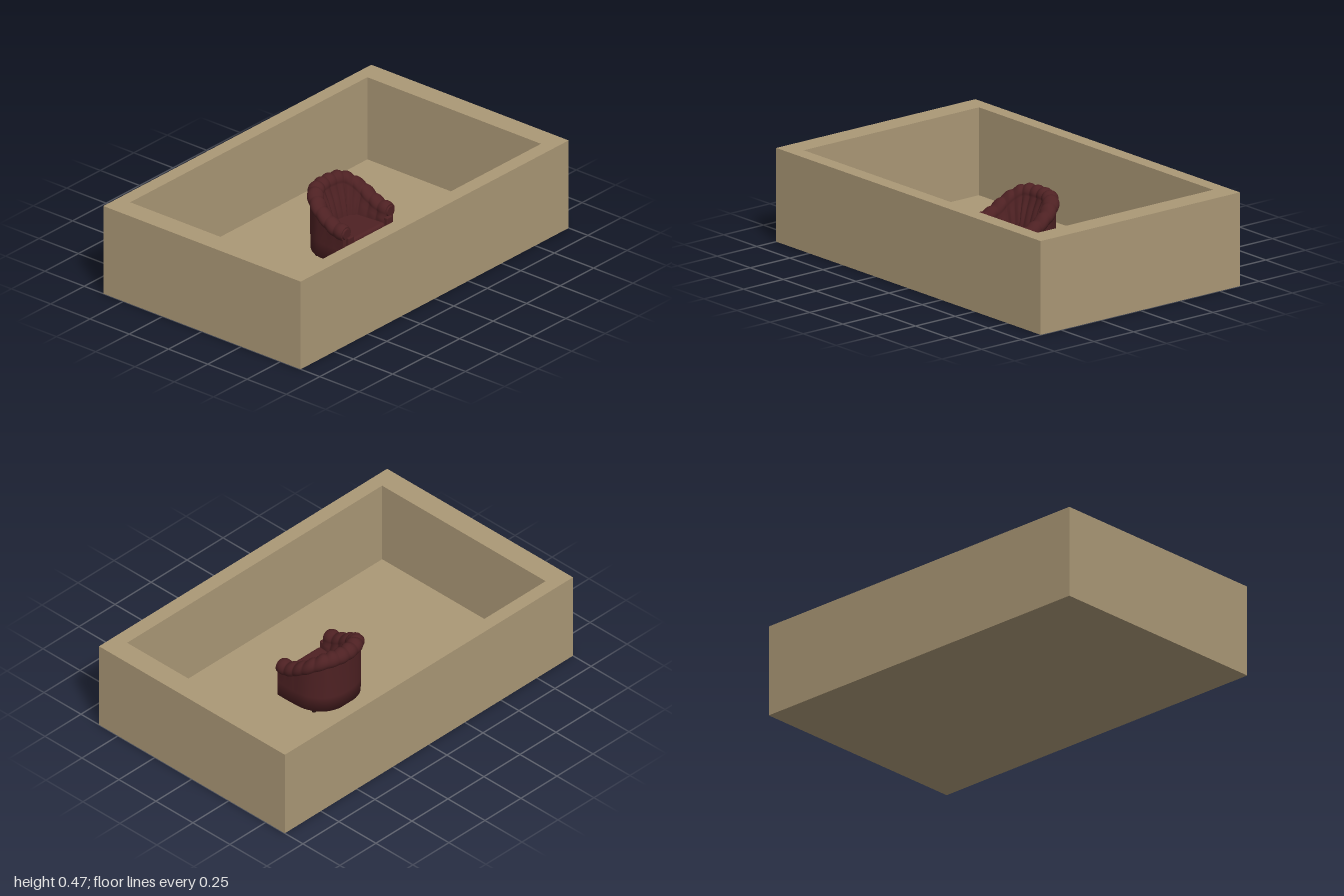
import * as THREE from 'three';
import { RoundedBoxGeometry } from 'three/addons/geometries/RoundedBoxGeometry.js';

const FLOOR = 0.03;
const HEIGHT = 0.475;

// Rectangle corners, for the wall outline and its opening
const rect = (x, y0, y1) => [[-x, y0], [x, y0], [x, y1], [-x, y1]].map(p => new THREE.Vector2(...p));

// Sweeps the upholstered cross-section round a U-shaped path: arms and back in one piece
function shellGeometry() {
  const path = new THREE.CatmullRomCurve3(
    [[-0.164, 0.132], [-0.163, 0.03], [-0.152, -0.05], [-0.1, -0.118], [0, -0.142],
      [0.1, -0.118], [0.152, -0.05], [0.163, 0.03], [0.164, 0.132]]
      .map(([x, z]) => new THREE.Vector3(x, 0, z)));
  const steps = 168, lumps = 14, arc = 14;
  const positions = [], index = [], sections = [], centres = [];

  for (let i = 0; i <= steps; i++) {
    const u = i / steps;
    const p = path.getPointAt(u), t = path.getTangentAt(u);
    const rise = THREE.MathUtils.smoothstep(Math.min(u, 1 - u), 0.03, 0.4);
    const pleat = Math.abs(Math.sin(Math.PI * lumps * u));
    const r = 0.036 + 0.006 * pleat;
    const cy = 0.222 + 0.122 * rise + 0.003 * (pleat - 1);
    const inner = 0.048 + 0.047 * rise;
    const puff = 0.007 * pleat;
    const section = [[0.022, 0.05], [0.024, 0.13], [0.024, cy - r * 0.82]];
    for (let k = 0; k <= arc; k++) {
      const a = THREE.MathUtils.degToRad(-45 + 245 * k / arc);
      section.push([r * Math.cos(a), cy + r * Math.sin(a)]);
    }
    for (const f of [0.3, 0.65]) {
      section.push([-THREE.MathUtils.lerp(r, inner, f) - puff * 0.6, THREE.MathUtils.lerp(cy - 0.012, 0.16, f)]);
    }
    section.push([-inner, 0.16], [-inner, 0.05]);
    const place = ([o, y]) => [p.x + o * t.z, y, p.z - o * t.x];
    sections.push(section.map(place));
    centres.push(place([0, cy]));
  }

  const m = sections[0].length;
  sections.forEach(s => s.forEach(v => positions.push(...v)));
  for (let i = 0; i < steps; i++) {
    for (let j = 0; j < m; j++) {
      const a = i * m + j, b = i * m + (j + 1) % m;
      index.push(a, b, a + m, b, b + m, a + m);
    }
  }
  // Flat arm fronts with their own vertices
  for (const i of [0, steps]) {
    const base = positions.length / 3;
    sections[i].forEach(v => positions.push(...v));
    positions.push(...centres[i]);
    for (let j = 0; j < m; j++) {
      const a = base + j, b = base + (j + 1) % m;
      index.push(base + m, ...(i === 0 ? [b, a] : [a, b]));
    }
  }
  const geometry = new THREE.BufferGeometry();
  geometry.setAttribute('position', new THREE.Float32BufferAttribute(positions, 3));
  geometry.setIndex(index);
  geometry.computeVertexNormals();
  return geometry;
}

export function createModel() {
  const tan = new THREE.MeshStandardMaterial({ color: 0xab9876 });
  tan.name = 'tan';
  const maroon = new THREE.MeshStandardMaterial({ color: 0x4e2123 });
  maroon.name = 'maroon leather';
  const wood = new THREE.MeshStandardMaterial({ color: 0x2e1716 });
  wood.name = 'dark wood';

  const model = new THREE.Group();
  const add = (parent, name, geometry, material, x = 0, y = 0, z = 0) => {
    const mesh = new THREE.Mesh(geometry, material);
    mesh.name = name;
    mesh.position.set(x, y, z);
    parent.add(mesh);
    return mesh;
  };

  // Open-topped room: a wall ring round a thin floor
  const room = new THREE.Group();
  room.name = 'room';
  model.add(room);
  const outline = new THREE.Shape(rect(1, -0.628, 0.628));
  outline.holes.push(new THREE.Path(rect(0.885, -0.55, 0.555)));
  const walls = new THREE.ExtrudeGeometry(outline, { depth: HEIGHT - FLOOR, bevelEnabled: false });
  add(room, 'walls', walls.rotateX(-Math.PI / 2), tan, 0, FLOOR, 0);
  add(room, 'floor', new THREE.BoxGeometry(2, FLOOR, 1.256), tan, 0, FLOOR / 2, 0);

  // Tub armchair
  const chair = new THREE.Group();
  chair.name = 'armchair';
  chair.position.x = 0.084;
  model.add(chair);
  add(chair, 'armsAndBack', shellGeometry(), maroon);
  add(chair, 'seatBase', new THREE.BoxGeometry(0.25, 0.07, 0.235), maroon, 0, 0.085, 0.023);

  // Cushion narrows towards the back
  const cushion = new RoundedBoxGeometry(0.244, 0.06, 0.215, 4, 0.018);
  const pos = cushion.attributes.position;
  for (let i = 0; i < pos.count; i++) {
    pos.setX(i, pos.getX(i) * (0.92 + 0.7 * pos.getZ(i)));
  }
  cushion.computeVertexNormals();
  add(chair, 'seatCushion', cushion, maroon, 0, 0.148, 0.038);

  for (const side of [-1, 1]) {
    add(chair, 'armFrontPanel', new RoundedBoxGeometry(0.042, 0.15, 0.024, 2, 0.006), maroon, side * 0.143, 0.125, 0.138);
    // Rolled scroll on each arm front
    add(chair, 'armScroll', new THREE.CylinderGeometry(0.026, 0.03, 0.008, 20).rotateX(Math.PI / 2), maroon, side * 0.164, 0.219, 0.135);
    for (const z of [-0.07, 0.12]) {
      add(chair, 'foot', new THREE.CylinderGeometry(0.016, 0.011, 0.024, 12), wood, side * 0.14, 0.041, z);
    }
  }
  return model;
}
